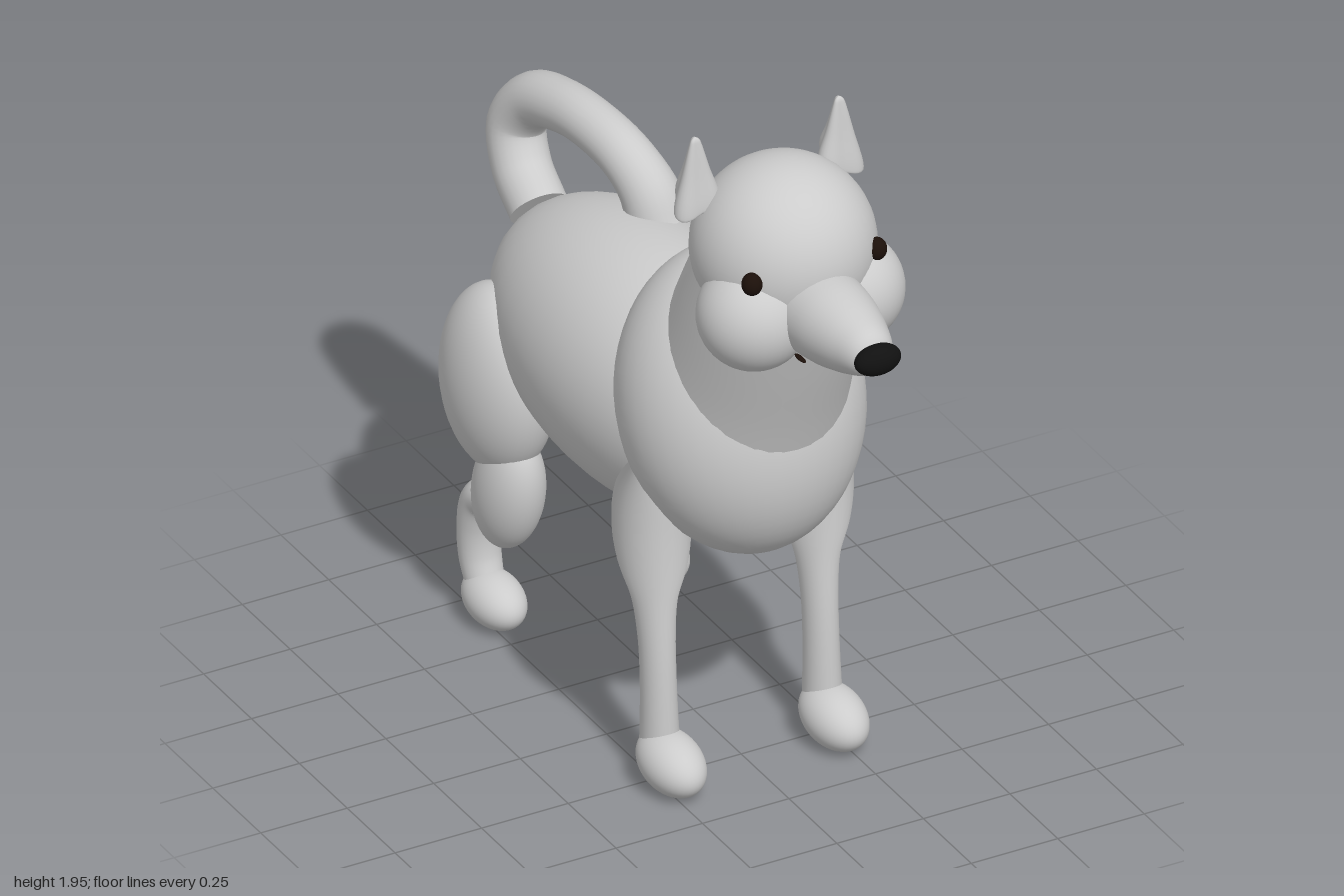
import * as THREE from 'three';

const coat = new THREE.MeshStandardMaterial({ color: 0xcccccc });
const noseBlack = new THREE.MeshStandardMaterial({ color: 0x111111 });
const eyeBrown = new THREE.MeshStandardMaterial({ color: 0x1c100a });

export function createModel() {
  const model = new THREE.Group();

  const add = (name, geometry, material = coat, parent = model) => {
    const mesh = new THREE.Mesh(geometry, material);
    mesh.name = name;
    parent.add(mesh);
    return mesh;
  };

  // Ellipsoid from centre, radii and a tilt about x
  const blob = (name, centre, radii, tilt = 0, material = coat, parent = model) => {
    const mesh = add(name, new THREE.SphereGeometry(1, 40, 28), material, parent);
    mesh.position.set(...centre);
    mesh.scale.set(...radii);
    mesh.rotation.x = tilt;
    return mesh;
  };

  // Tube whose radius follows evenly spaced values, closed by flat discs
  const limb = (name, points, radii, parent = model) => {
    const n = 48, sides = 24;
    const curve = new THREE.CatmullRomCurve3(points.map(p => new THREE.Vector3(...p)));
    const radiusCurve = new THREE.SplineCurve(radii.map((r, i) => new THREE.Vector2(i, r)));
    const geometry = new THREE.TubeGeometry(curve, n, 1, sides);
    const pos = geometry.attributes.position, v = new THREE.Vector3();
    for (let i = 0; i <= n; i++) {
      const c = curve.getPointAt(i / n), r = radiusCurve.getPoint(i / n).y;
      for (let j = 0; j <= sides; j++) {
        const k = i * (sides + 1) + j;
        v.fromBufferAttribute(pos, k).sub(c).multiplyScalar(r).add(c);
        pos.setXYZ(k, v.x, v.y, v.z);
      }
    }
    const group = new THREE.Group();
    group.name = name;
    parent.add(group);
    add(name + 'Surface', geometry, coat, group);
    for (const t of [0, 1]) {
      const cap = add(name + 'End', new THREE.CircleGeometry(radii[t * (radii.length - 1)], sides), coat, group);
      cap.position.copy(curve.getPointAt(t));
      cap.lookAt(cap.position.clone().addScaledVector(curve.getTangentAt(t), t ? 1 : -1));
    }
    return group;
  };

  // Solid of revolution through a smoothed profile of [radius, height]
  const turned = (profile, steps = 32) => new THREE.LatheGeometry(
    new THREE.SplineCurve(profile.map(p => new THREE.Vector2(...p))).getPoints(steps)
      .map(p => p.set(Math.max(p.x, 0), p.y)), 40);

  // Torso
  blob('body', [0, 0.935, -0.2], [0.325, 0.345, 0.64]);
  blob('chest', [0, 1.06, 0.245], [0.325, 0.41, 0.295], -0.29);
  const neck = add('neck', turned([[0.275, -0.3], [0.262, -0.15], [0.25, 0.05], [0.235, 0.25]]));
  neck.position.set(0, 1.38, 0.395);
  neck.rotation.x = 0.418;
  neck.scale.x = 0.93;

  // Head
  blob('head', [0, 1.63, 0.47], [0.24, 0.24, 0.24]);
  const snout = add('snout', turned([[0.125, 0], [0.118, 0.12], [0.108, 0.2], [0.085, 0.29], [0.055, 0.36], [0, 0.39]]));
  snout.position.set(0, 1.527, 0.58);
  snout.rotation.x = Math.PI / 2 - 0.05;
  blob('nose', [0, 1.545, 0.963], [0.065, 0.042, 0.037], 0, noseBlack);

  // Ear: a rounded three-sided cone, flat to the front, with a slanted foot
  const earGeometry = side => {
    const g = turned([[0, 0], [0.05, 0], [0.056, 0.02], [0.036, 0.09], [0.017, 0.165], [0.01, 0.185], [0, 0.192]]);
    const p = g.attributes.position;
    for (let i = 0; i < p.count; i++) {
      const x = p.getX(i), y = p.getY(i), z = p.getZ(i);
      const f = 1 - 0.18 * Math.cos(3 * Math.atan2(x, z));
      const slant = 1 - y / 0.192;
      p.setXYZ(i, x * f, y - (z * 0.45 + x * side * 0.3) * f * slant, z * f * 0.9 + y * 0.03);
    }
    g.computeVertexNormals();
    return g;
  };

  for (const side of [1, -1]) {
    const label = side > 0 ? 'left' : 'right';
    const half = new THREE.Group();
    half.name = label + 'SideParts';
    model.add(half);
    const x = side * 0.235;

    // Face
    blob(label + 'Cheek', [side * 0.135, 1.508, 0.56], [0.148, 0.148, 0.148], 0, coat, half);
    blob(label + 'Eye', [side * 0.18, 1.645, 0.632], [0.027, 0.031, 0.027], 0, eyeBrown, half);
    blob(label + 'MouthCorner', [side * 0.1, 1.46, 0.74], [0.008, 0.004, 0.026], 0, eyeBrown, half);
    const ear = add(label + 'Ear', earGeometry(side), coat, half);
    ear.position.set(side * 0.208, 1.765, 0.378);

    // Front leg
    const leg = limb(label + 'FrontLeg',
      [[0, 0.95, 0.2], [0, 0.75, 0.205], [0, 0.55, 0.22], [0, 0.35, 0.238], [0, 0.09, 0.25]],
      [0.03, 0.098, 0.112, 0.1, 0.066, 0.054, 0.052, 0.054, 0.058], half);
    leg.position.x = x;
    leg.scale.x = 0.87;
    blob(label + 'FrontPaw', [x, 0.08, 0.31], [0.08, 0.076, 0.12], 0.15, coat, half);

    // Hind leg
    blob(label + 'Thigh', [x, 0.74, -0.595], [0.135, 0.265, 0.195], 0, coat, half);
    blob(label + 'Shank', [x, 0.44, -0.54], [0.088, 0.185, 0.112], 0.25, coat, half);
    limb(label + 'Hock',
      [[x, 0.36, -0.6], [x, 0.345, -0.665], [x, 0.27, -0.692], [x, 0.17, -0.69], [x, 0.08, -0.655]],
      [0.045, 0.058, 0.057, 0.055, 0.05], half);
    blob(label + 'HindPaw', [x, 0.075, -0.615], [0.075, 0.07, 0.11], 0.1, coat, half);
  }

  // Curled tail
  limb('tail',
    [[-0.02, 1.08, -0.77], [-0.012, 1.15, -0.875], [0, 1.25, -0.922], [0.02, 1.34, -0.865], [0.035, 1.384, -0.74],
      [0.05, 1.392, -0.61], [0.07, 1.365, -0.48], [0.09, 1.3, -0.395], [0.1, 1.22, -0.355]],
    [0.078, 0.078, 0.076, 0.07, 0.068, 0.072, 0.085]);

  return model;
}
